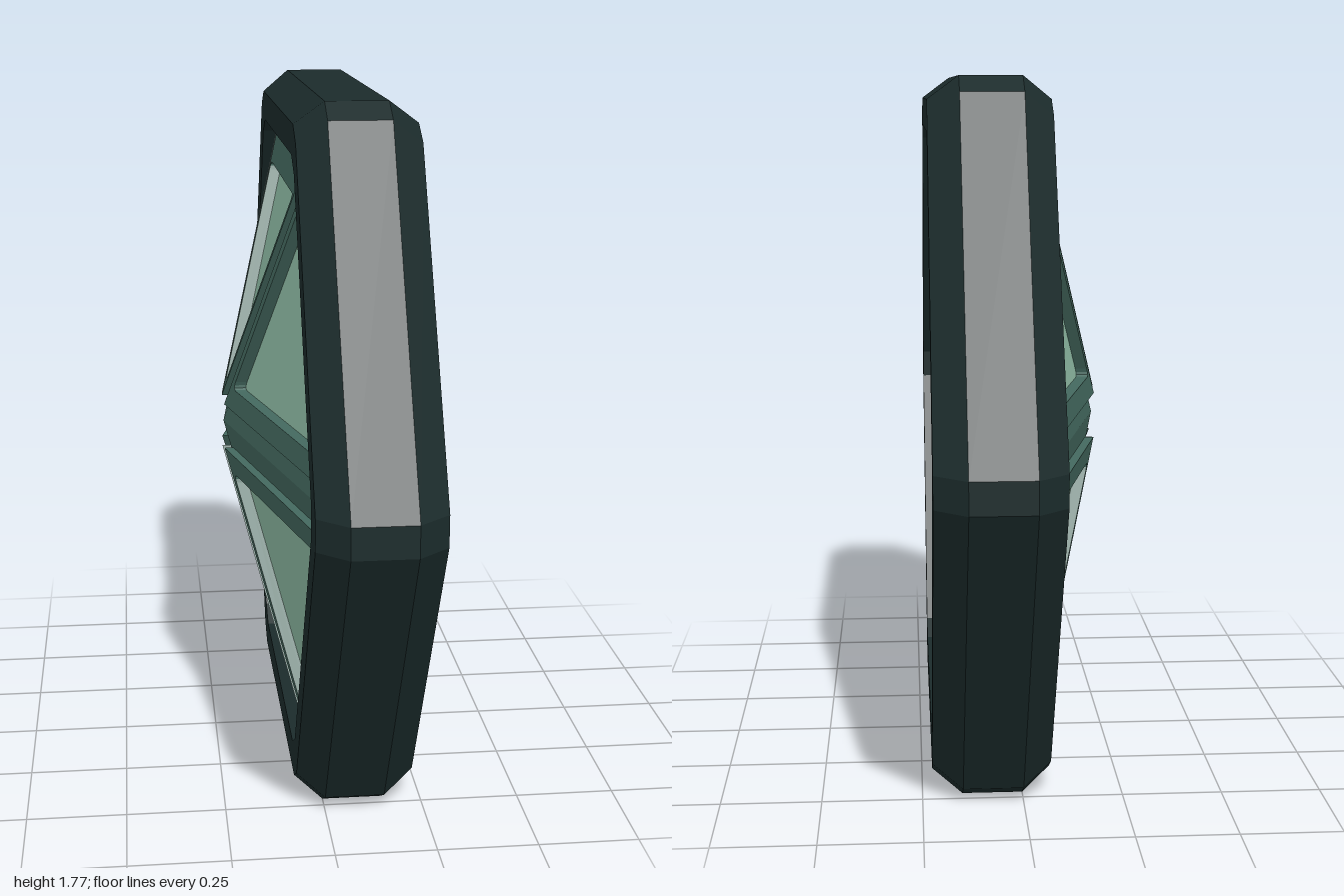
import * as THREE from 'three';

const CY = 0.885;               // height of the window centre
const SLOPE = 0.278;            // how far the dome falls back per unit of radius
const T30 = Math.tan(Math.PI / 6), C30 = Math.cos(Math.PI / 6);

const mat = (color) => new THREE.MeshStandardMaterial({ color, flatShading: true });

// Hexagonal ring with clipped corners, swept around a chamfered section
function frameGeometry() {
  const section = [ // [apothem, x]
    [0.755, -0.07], [0.83, -0.07], [0.885, 0], [0.885, 0.15], [0.83, 0.225], [0.755, 0.225],
  ];
  const point = ([apothem, x], j) => {
    const a = Math.floor(j / 2) * Math.PI / 3;
    const r = apothem / C30 - 0.022, t = j % 2 ? 0.038 : -0.038;
    return [x, CY + r * Math.sin(a) + t * Math.cos(a), r * Math.cos(a) - t * Math.sin(a)];
  };
  const pos = [];
  section.forEach((s, i) => {
    const n = section[(i + 1) % section.length];
    for (let j = 0; j < 12; j++) {
      const k = (j + 1) % 12;
      const a = point(s, j), b = point(n, j), c = point(n, k), d = point(s, k);
      pos.push(...a, ...b, ...c, ...a, ...c, ...d);
    }
  });
  const g = new THREE.BufferGeometry();
  g.setAttribute('position', new THREE.Float32BufferAttribute(pos, 3));
  g.computeVertexNormals();
  return g;
}

// Wedge triangle: dL and dR inset its two radial sides, top is its outer edge
function wedge(dL, dR, top) {
  const v = dL + dR;
  return [
    new THREE.Vector2(v * T30 - dR / C30, v),
    new THREE.Vector2(top * T30 - dR / C30, top),
    new THREE.Vector2(-top * T30 + dL / C30, top),
  ];
}

// Triangle path with slightly rounded corners
function roundedPath(points, r) {
  const path = new THREE.Path();
  points.forEach((p, i) => {
    const prev = points[(i + 2) % 3], next = points[(i + 1) % 3];
    const a = p.clone().add(prev.clone().sub(p).setLength(r));
    const b = p.clone().add(next.clone().sub(p).setLength(r));
    if (i === 0) path.moveTo(a.x, a.y); else path.lineTo(a.x, a.y);
    path.quadraticCurveTo(p.x, p.y, b.x, b.y);
  });
  path.closePath();
  return path;
}

// Extrude a wedge, tilt it to the dome slope and turn it into its sector
function sectorGeometry(points, hole, x, depth, angle) {
  const shape = new THREE.Shape(points);
  if (hole) shape.holes.push(roundedPath(hole, 0.025));
  const g = new THREE.ExtrudeGeometry(shape, { depth, bevelEnabled: false, curveSegments: 4 });
  const p = g.attributes.position;
  for (let i = 0; i < p.count; i++) p.setZ(i, p.getZ(i) + x + SLOPE * p.getY(i));
  const c = Math.cos(angle), s = Math.sin(angle);
  g.applyMatrix4(new THREE.Matrix4().makeBasis(
    new THREE.Vector3(0, c, -s), new THREE.Vector3(0, s, c), new THREE.Vector3(1, 0, 0),
  ).setPosition(0, CY, 0));
  g.computeVertexNormals();
  return g;
}

export function createModel() {
  const model = new THREE.Group();
  model.name = 'hexagonalWindow';
  const frameMat = mat(0x1b2b2b), barMat = mat(0x44695f), glassMat = mat(0x90bda6);

  const add = (parent, name, geometry, material) => {
    const mesh = new THREE.Mesh(geometry, material);
    mesh.name = name;
    parent.add(mesh);
  };

  add(model, 'outerFrame', frameGeometry(), frameMat);

  // Six sectors; the bar along z is wider than the diagonal ones
  for (let k = 0; k < 6; k++) {
    const angle = Math.PI / 6 + k * Math.PI / 3;
    const upright = k % 3 === 1;                 // top and bottom sectors
    const wideLeft = k % 3 === 2;                // which side borders the wide bar
    const insets = (narrow, wide, even) =>
      upright ? [even, even] : wideLeft ? [narrow, wide] : [wide, narrow];

    const hole = wedge(...insets(0.04, 0.115, 0.052), upright ? 0.65 : 0.68);
    const lip = wedge(...insets(0.02, 0.06, 0.035), 0.74);
    const sector = new THREE.Group();
    sector.name = 'windowSector';
    add(sector, 'bars', sectorGeometry(wedge(0, 0, 0.77), hole, -0.217, 0.18, angle), barMat);
    add(sector, 'raisedPaneSurround', sectorGeometry(lip, hole, -0.24, 0.025, angle), barMat);
    // Pane edges are buried in the bars
    const pane = wedge(...insets(0.03, 0.105, 0.042), upright ? 0.66 : 0.69);
    add(sector, 'glassPane', sectorGeometry(pane, null, -0.21, 0.015, angle), glassMat);
    model.add(sector);
  }
  return model;
}
